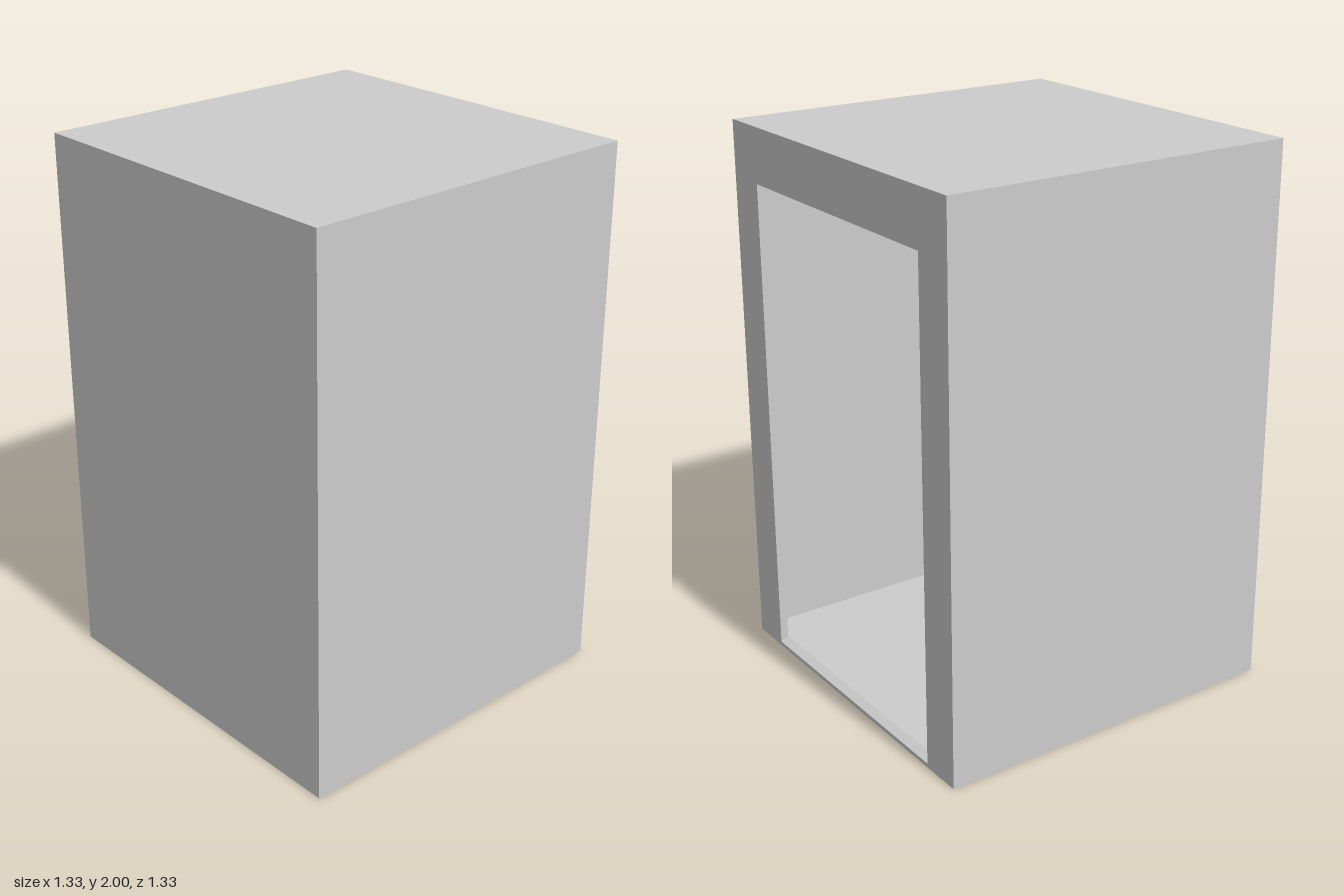
import * as THREE from 'three';

const W = 0.667;   // half width and half depth
const H = 2;       // height
const T = 0.03;    // wall thickness
const DOOR_W = 0.51, DOOR_H = 1.8, SILL = 0.015;

export function createModel() {
  const model = new THREE.Group();
  model.name = 'hollowBooth';
  const grey = new THREE.MeshStandardMaterial({ color: 0xcccccc });
  grey.name = 'plain grey';

  const add = (name, geometry, x = 0, y = 0, z = 0) => {
    const mesh = new THREE.Mesh(geometry, grey);
    mesh.name = name;
    mesh.position.set(x, y, z);
    model.add(mesh);
    return mesh;
  };
  const outline = (points) => new THREE.Shape(points.map(([a, b]) => new THREE.Vector2(a, b)));
  const extrude = (points, depth) =>
    new THREE.ExtrudeGeometry(outline(points), { depth, bevelEnabled: false });

  // Closed walls, roof and floor
  const inner = H - 2 * T;
  const slab = new THREE.BoxGeometry(2 * W - T, T, 2 * W);
  add('floor', slab, -T / 2, T / 2, 0);
  add('roof', slab, -T / 2, H - T / 2, 0);
  const side = new THREE.BoxGeometry(2 * W - T, inner, T);
  add('frontWall', side, -T / 2, H / 2, W - T / 2);
  add('backWall', side, -T / 2, H / 2, -W + T / 2);
  add('closedEndWall', new THREE.BoxGeometry(T, inner, 2 * (W - T)), -W + T / 2, H / 2, 0);

  // End wall with the doorway cut up from the ground
  const frame = extrude([
    [-W, 0], [-DOOR_W, 0], [-DOOR_W, DOOR_H], [DOOR_W, DOOR_H],
    [DOOR_W, 0], [W, 0], [W, H], [-W, H],
  ], T);
  frame.rotateY(Math.PI / 2);
  add('doorwayWall', frame, W - T, 0, 0);

  // Sloping threshold between the door jambs
  const sill = extrude([[W - T, 0], [W, 0], [W, SILL], [W - T, T]], 2 * DOOR_W);
  add('threshold', sill, 0, 0, -DOOR_W);

  return model;
}
